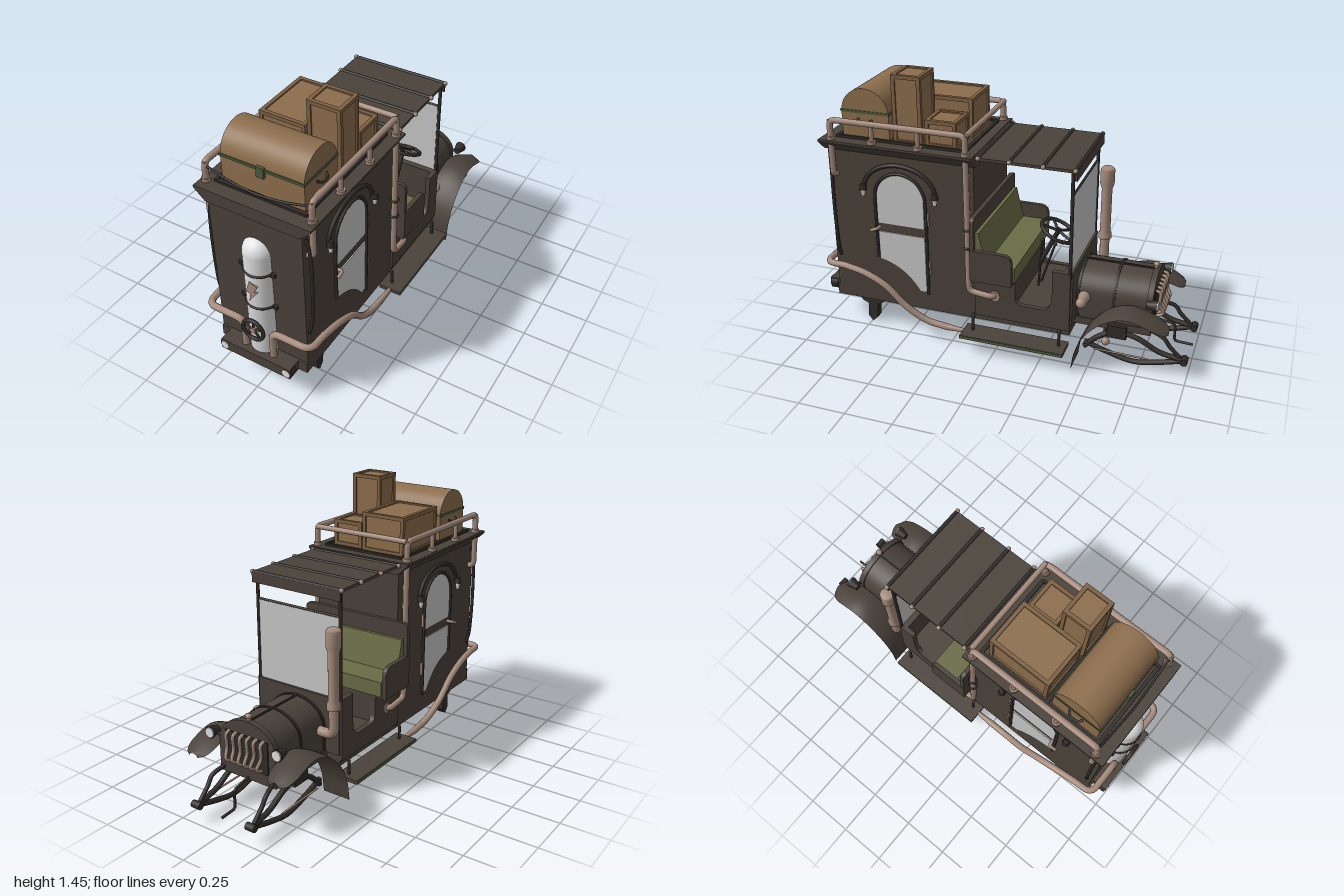
import * as THREE from 'three';
import { toCreasedNormals } from 'three/addons/utils/BufferGeometryUtils.js';

const mat = (name, color, side = THREE.FrontSide) => Object.assign(new THREE.MeshStandardMaterial({ color, side }), { name });
const V = (x, y, z) => new THREE.Vector3(x, y, z);
// Box from its extents
const box = (x0, x1, y0, y1, z0, z1) => new THREE.BoxGeometry(x1 - x0, y1 - y0, z1 - z0)
  .translate((x0 + x1) / 2, (y0 + y1) / 2, (z0 + z1) / 2);
const poly = (pts) => new THREE.Shape(pts.map(p => new THREE.Vector2(...p)));
const extrude = (shape, depth) => toCreasedNormals(new THREE.ExtrudeGeometry(shape, { depth, bevelEnabled: false, curveSegments: 16 }), 0.6);
// Plates drawn in (x, y) and in (z, y)
const plate = (shape, z0, z1) => extrude(shape, z1 - z0).translate(0, 0, z0);
const slab = (shape, x0, x1) => extrude(shape, x1 - x0).rotateY(-Math.PI / 2).translate(x1, 0, 0);
const tube = (pts, r) => new THREE.TubeGeometry(new THREE.CatmullRomCurve3(pts.map(p => V(...p))), 48, r, 10);
// Pipe with straight runs and rounded elbows
const pipe = (pts, r, bend) => {
  const p = pts.map(q => V(...q)), path = new THREE.CurvePath(), last = p.length - 1;
  let from = p[0];
  for (let i = 1; i < last; i++) {
    const [a, b] = [p[i - 1], p[i + 1]].map(q => q.clone().sub(p[i]).setLength(bend).add(p[i]));
    path.add(new THREE.LineCurve3(from, a));
    path.add(new THREE.QuadraticBezierCurve3(a, p[i], b));
    from = b;
  }
  path.add(new THREE.LineCurve3(from, p[last]));
  return new THREE.TubeGeometry(path, 24 * p.length, r, 10);
};
const rod = (a, b, r, r2 = r) => {
  const s = V(...a), d = V(...b).sub(s), turn = new THREE.Quaternion().setFromUnitVectors(V(0, 1, 0), d.clone().normalize());
  return new THREE.CylinderGeometry(r2, r, d.length(), 16).applyQuaternion(turn).translate(...s.addScaledVector(d, 0.5).toArray());
};
const ball = (x, y, z, r) => new THREE.SphereGeometry(r, 16, 10).translate(x, y, z);
const ring = (x, y, z, R, r) => new THREE.TorusGeometry(R, r, 8, 28).rotateX(Math.PI / 2).translate(x, y, z);
const lathe = (pts, x, z) => new THREE.LatheGeometry(pts.map(p => new THREE.Vector2(...p)), 32).translate(x, 0, z);
// Copy to the other side, reversing the corner order
const mirror = (geo) => {
  const order = geo.index ? [...geo.index.array] : [...Array(geo.attributes.position.count).keys()];
  return geo.clone().scale(-1, 1, 1).setIndex(order.reverse());
};

export function createModel() {
  const dark = mat('dark bodywork', 0x4a423a), darkSheet = mat('dark sheet metal', 0x4a423a, THREE.DoubleSide);
  const iron = mat('black iron', 0x302c28), copper = mat('copper pipe', 0xa58b7c);
  const wood = mat('tan wood', 0x8d6e4d), woodEdge = mat('wood edging', 0x7d6043);
  const white = mat('white enamel', 0xe2e2e2), glass = mat('pale glass', 0xc6c7c6);
  const green = mat('green leather', 0x6a6b45), strapGreen = mat('green strap', 0x4c5a3c);
  const root = new THREE.Group();
  const add = (name, geo, m, parent = root) => parent.add(Object.assign(new THREE.Mesh(geo, m), { name }));
  const both = (name, geo, m) => { add(name + 'Left', geo, m); add(name + 'Right', mirror(geo), m); };

  // Chassis, cabin and flared roof
  add('chassis', box(-0.25, 0.25, 0.17, 0.23, -0.4, 0.92), dark);
  add('frontChassis', box(-0.17, 0.17, 0.2, 0.24, -0.8, -0.4), dark);
  add('rearStep', box(-0.2, 0.2, 0.17, 0.23, 0.92, 0.995), dark);
  add('cabin', box(-0.25, 0.25, 0.23, 1.05, 0.11, 0.91), dark);
  add('roof', plate(poly([[-0.25, 1.03], [0.25, 1.03], [0.31, 1.085], [0.31, 1.097], [-0.31, 1.097], [-0.31, 1.085]]), 0.1, 0.93), dark);
  both('roofSideTrim', box(0.23, 0.245, 1.09, 1.11, 0.16, 0.86), iron);
  for (const z of [0.16, 0.55, 0.85]) add('roofCrossTrim', box(-0.24, 0.24, 1.09, 1.108, z - 0.01, z + 0.01), iron);

  // Cabin doors: glass, frame, arch moulding, lamps
  both('upperWindow', slab(poly([[0.385, 0.65], [0.645, 0.65], [0.645, 0.8]]).absarc(0.515, 0.8, 0.13, 0, Math.PI, false), 0.249, 0.256), glass);
  const lower = poly([[0.385, 0.6], [0.385, 0.28], [0.42, 0.28]]).bezierCurveTo(0.47, 0.36, 0.54, 0.42, 0.645, 0.44).lineTo(0.645, 0.6);
  both('lowerWindow', slab(lower, 0.249, 0.256), glass);
  const arch = (R, H, y) => Array.from({ length: 13 }, (_, i) => [0.256, y + H * Math.sin(Math.PI * i / 12), 0.515 + R * Math.cos(Math.PI * i / 12)]);
  both('doorFrame', tube([[0.256, 0.45, 0.655], ...arch(0.14, 0.14, 0.8), [0.256, 0.27, 0.375]], 0.008), iron);
  both('archMoulding', tube(arch(0.2, 0.15, 0.835), 0.011), iron);
  for (const z of [0.315, 0.715]) {
    both('doorLampCap', rod([0.268, 0.835, z], [0.268, 0.865, z], 0.02, 0.014), iron);
    both('doorLamp', rod([0.268, 0.8, z], [0.268, 0.838, z], 0.009, 0.014), white);
  }
  for (const y of [0.43, 0.71]) both('hinge', box(0.25, 0.262, y - 0.035, y + 0.035, 0.355, 0.363), copper);
  both('doorHandle', tube([[0.25, 0.625, 0.64], [0.28, 0.625, 0.645], [0.28, 0.61, 0.68]], 0.009), copper);

  // Rear gas tank with bands, bolt and valve wheel
  const cap = Array.from({ length: 11 }, (_, i) => [0.08 * Math.cos(i * Math.PI / 20), 0.83 + 0.08 * Math.sin(i * Math.PI / 20)]);
  add('gasTank', lathe([[0, 0.23], [0.08, 0.23], ...cap], 0, 0.89), white);
  for (const y of [0.53, 0.73]) {
    add('tankBand', ring(0, y, 0.89, 0.081, 0.006), iron);
    both('tankBandFoot', box(0.075, 0.1, y - 0.01, y + 0.01, 0.905, 0.925), iron);
  }
  const bolt = poly([[-0.01, 0.69], [-0.033, 0.62], [-0.008, 0.615], [-0.018, 0.56], [0.033, 0.637], [0.014, 0.635], [0.033, 0.672]]);
  add('tankBolt', plate(bolt, 0.964, 0.973), copper);
  add('valveWheel', new THREE.TorusGeometry(0.058, 0.01, 8, 32).translate(0, 0.395, 0.988), iron);
  for (let a = Math.PI / 2; a < 7.5; a += Math.PI * 0.4)
    add('valveSpoke', rod([0, 0.395, 0.985], [0.055 * Math.cos(a), 0.395 + 0.055 * Math.sin(a), 0.985], 0.006), iron);
  add('valveHub', rod([0, 0.395, 0.95], [0, 0.395, 0.996], 0.016), copper);

  // Long exhaust pipes sweeping to the running boards
  both('rearPipe', pipe([[0.08, 0.22, 0.95], [0.08, 0.385, 0.95], [0.295, 0.385, 0.95], [0.3, 0.385, 0.83]], 0.018, 0.05), copper);
  both('sweepPipe', tube([[0.3, 0.385, 0.84], [0.308, 0.365, 0.72], [0.31, 0.31, 0.6], [0.3, 0.2, 0.49], [0.285, 0.125, 0.38], [0.28, 0.102, 0.26]], 0.018), copper);
  both('sweepTip', rod([0.28, 0.102, 0.27], [0.28, 0.1, 0.17], 0.018, 0.011), copper);
  both('runningBoard', box(0.22, 0.345, 0.09, 0.11, -0.39, 0.17), dark);
  both('runningBoardTrim', box(0.345, 0.348, 0.092, 0.108, -0.39, 0.17), strapGreen);
  for (const z of [0.12, -0.35]) both('boardStrut', pipe([[0.23, 0.2, z], [0.27, 0.195, z], [0.27, 0.08, z]], 0.008, 0.02), iron);

  // Roof rack and its down pipes
  both('rackRail', pipe([[0.28, 0.97, 0.87], [0.28, 1.2, 0.87], [0.28, 1.2, 0.14], [0.28, 0.35, 0.135], [0.28, 0.335, 0], [0.24, 0.335, 0]], 0.016, 0.03), copper);
  both('rackRearElbow', pipe([[0.28, 1.0, 0.87], [0.28, 0.9, 0.87], [0.24, 0.9, 0.87]], 0.016, 0.03), copper);
  add('rackFrontRail', rod([-0.28, 1.2, 0.135], [0.28, 1.2, 0.135], 0.014), copper);
  for (const z of [0.14, 0.39, 0.64, 0.87]) {
    both('rackPost', rod([0.28, 1.09, z], [0.28, 1.2, z], 0.012), copper);
    both('rackPostFoot', rod([0.28, 1.09, z], [0.28, 1.115, z], 0.022), copper);
  }
  add('rackRope', tube([[-0.28, 1.18, 0.87], [-0.14, 1.148, 0.875], [0, 1.138, 0.88], [0.14, 1.148, 0.875], [0.28, 1.18, 0.87]], 0.006), iron);
  for (const y of [0.6, 0.7]) both('pipeClamp', ring(0.28, y, 0.136, 0.018, 0.006), iron);
  both('elbowFlange', rod([0.25, 0.335, 0], [0.268, 0.335, 0], 0.028), copper);
  both('rearDrain', tube([[0.25, 1.0, 0.885], [0.268, 0.95, 0.885], [0.268, 0.5, 0.885], [0.25, 0.42, 0.885]], 0.009), iron);

  // Domed trunk
  add('trunk', slab(poly([[0.57, 1.095], [0.83, 1.095], [0.83, 1.23]]).absarc(0.7, 1.23, 0.13, 0, Math.PI, false), -0.22, 0.22), wood);
  add('trunkStrap', box(-0.224, 0.224, 1.23, 1.244, 0.566, 0.834), strapGreen);
  add('trunkLock', box(-0.02, 0.02, 1.2, 1.255, 0.83, 0.845), strapGreen);
  both('trunkHandle', tube([[0.22, 1.2, 0.74], [0.238, 1.19, 0.72], [0.238, 1.19, 0.68], [0.22, 1.2, 0.66]], 0.006), iron);

  // Crates: recessed core with edge battens
  for (const [x0, x1, y1, z0, z1] of [[0.05, 0.225, 1.45, 0.39, 0.545], [-0.22, 0.03, 1.3, 0.195, 0.535], [0.045, 0.22, 1.235, 0.21, 0.375]]) {
    const y0 = 1.095, b = 0.02, X = [x0, x1 - b], Y = [y0, y1 - b], Z = [z0, z1 - b];
    add('crateCore', box(x0 + 0.008, x1 - 0.008, y0, y1 - 0.008, z0 + 0.008, z1 - 0.008), wood);
    for (const [p, q] of [[0, 0], [0, 1], [1, 0], [1, 1]]) {
      add('crateBatten', box(X[p], X[p] + b, y0, y1, Z[q], Z[q] + b), woodEdge);
      add('crateBatten', box(x0, x1, Y[p], Y[p] + b, Z[q], Z[q] + b), woodEdge);
      add('crateBatten', box(X[p], X[p] + b, Y[q], Y[q] + b, z0, z1), woodEdge);
    }
  }

  // Driver's cockpit: sides, floor, firewall, seat
  const side = poly([[-0.4, 0.53], [-0.4, 0.2], [0.11, 0.2], [0.11, 0.45], [-0.11, 0.45], [-0.11, 0.33]]).quadraticCurveTo(-0.12, 0.3, -0.16, 0.3)
    .lineTo(-0.26, 0.3).quadraticCurveTo(-0.31, 0.31, -0.305, 0.42).lineTo(-0.305, 0.53);
  both('cockpitSide', slab(side, 0.235, 0.262), dark);
  add('cockpitFloor', box(-0.25, 0.25, 0.2, 0.295, -0.4, 0.11), dark);
  add('firewall', box(-0.25, 0.25, 0.23, 0.53, -0.41, -0.36), dark);
  add('seatBase', box(-0.24, 0.24, 0.29, 0.45, -0.11, 0.11), dark);
  add('seatFloor', box(-0.325, 0.325, 0.435, 0.455, -0.11, 0.11), dark);
  const arm = poly([[-0.112, 0.44], [0.11, 0.44], [0.11, 0.61], [-0.06, 0.61]]).quadraticCurveTo(-0.112, 0.61, -0.112, 0.56);
  both('seatArm', slab(arm, 0.305, 0.328), dark);
  const back = poly([[-0.325, 0.44], [0.325, 0.44], [0.325, 0.75]]).quadraticCurveTo(0.325, 0.785, 0.29, 0.785)
    .lineTo(-0.29, 0.785).quadraticCurveTo(-0.325, 0.785, -0.325, 0.75);
  add('seatBack', plate(back, 0.088, 0.11), dark);
  add('seatCushion', box(-0.303, 0.303, 0.45, 0.53, -0.12, 0.07), green);
  add('seatBackCushion', slab(poly([[0.09, 0.52], [0.09, 0.7], [0.07, 0.7], [0.03, 0.52]]), -0.303, 0.303), green);

  // Canopy and windshield
  add('canopy', box(-0.265, 0.265, 1.075, 1.09, -0.41, 0.11), dark);
  add('canopyValance', box(-0.265, 0.265, 1.035, 1.09, -0.42, -0.408), dark);
  for (const z of [0.08, -0.08, -0.25, -0.41]) {
    add('canopyRib', rod([-0.267, 1.087, z], [0.267, 1.087, z], 0.01), iron);
    both('canopyKnob', ball(0.268, 1.087, z, 0.012), copper);
  }
  both('windshieldPost', rod([0.25, 0.5, -0.395], [0.25, 1.08, -0.395], 0.009), iron);
  add('windshield', box(-0.245, 0.245, 0.53, 0.95, -0.398, -0.392), glass);
  add('windshieldBar', rod([-0.25, 0.95, -0.395], [0.25, 0.95, -0.395], 0.006), iron);

  // Steering wheel and levers
  const wheel = Object.assign(new THREE.Group(), { name: 'steeringWheel' });
  add('wheelRim', ring(0, 0, 0, 0.093, 0.01), iron, wheel);
  add('steeringColumn', rod([0, -0.2, 0], [0, 0.012, 0], 0.012), iron, wheel);
  for (let a = 0; a < 6; a += Math.PI * 0.4) add('wheelSpoke', rod([0, 0, 0], [0.09 * Math.cos(a), 0, 0.09 * Math.sin(a)], 0.007), iron, wheel);
  wheel.position.set(0.1, 0.68, -0.287);
  wheel.rotation.x = -0.44;
  root.add(wheel);
  for (const [x, z, y] of [[0.02, -0.18, 0.57], [-0.03, -0.235, 0.53]]) {
    add('lever', rod([x, 0.29, -0.16], [x, y, z], 0.006), iron);
    add('leverKnob', ball(x, y, z, 0.011), iron);
  }

  // Hood, grille and headlamps
  const hood = (w, top, z0, z1) => plate(poly([[-w, 0.22], [w, 0.22], [w, top - 0.13]]).absellipse(0, top - 0.13, w, 0.13, 0, Math.PI, false), z0, z1);
  add('hood', hood(0.165, 0.495, -0.79, -0.4), dark);
  add('radiatorShell', hood(0.172, 0.503, -0.8, -0.77), dark);
  for (const z of [-0.61, -0.425]) add('hoodBand', hood(0.169, 0.5, z, z + 0.015), iron);
  add('hoodHinge', box(-0.005, 0.005, 0.49, 0.502, -0.79, -0.41), iron);
  add('grillePanel', box(-0.13, 0.13, 0.26, 0.43, -0.806, -0.8), iron);
  for (let x = -0.105; x < 0.11; x += 0.042)
    add('grillePipe', tube([[x, 0.43, -0.8], [x, 0.42, -0.825], [x, 0.35, -0.825], [x * 0.9, 0.3, -0.845], [x * 0.85, 0.27, -0.8]], 0.009), copper);
  add('radiatorCap', lathe([[0.01, 0.49], [0.01, 0.515], [0.016, 0.52], [0.016, 0.532], [0, 0.537]], 0, -0.78), copper);
  both('headlamp', rod([0.205, 0.4, -0.775], [0.205, 0.4, -0.83], 0.018, 0.032), iron);
  both('headlampLens', rod([0.205, 0.4, -0.83], [0.205, 0.4, -0.836], 0.026), white);
  both('headlampArm', rod([0.16, 0.38, -0.79], [0.205, 0.4, -0.8], 0.009), iron);

  // Smokestack and side outlet
  add('stackElbow', pipe([[-0.15, 0.36, -0.45], [-0.25, 0.36, -0.45], [-0.25, 0.52, -0.45]], 0.026, 0.045), copper);
  add('smokestack', lathe([[0.035, 0.5], [0.035, 0.53], [0.028, 0.54], [0.028, 0.79], [0.038, 0.82], [0.038, 0.9], [0.03, 0.91], [0, 0.91]], -0.25, -0.45), copper);
  add('sideOutlet', rod([0.15, 0.36, -0.45], [0.23, 0.36, -0.45], 0.034, 0.024), copper);
  add('sideOutletEnd', ball(0.23, 0.36, -0.45, 0.028), copper);

  // Front fenders bent along a curve, rounded at the tip
  const bend = new THREE.CatmullRomCurve3([[0.02, -0.43], [0.14, -0.45], [0.25, -0.505], [0.34, -0.6], [0.375, -0.7], [0.35, -0.81], [0.31, -0.905]].map(p => V(0, ...p)));
  const fender = new THREE.PlaneGeometry(1, 1, 8, 36), fp = fender.attributes.position;
  for (let i = 0; i < fp.count; i++) {
    const u = fp.getX(i) * 2, t = fp.getY(i) + 0.5, p = bend.getPointAt(t);
    const w = 0.35 + 0.65 * Math.sqrt(Math.max(0, 1 - (Math.max(0, t - 0.85) / 0.15) ** 2));
    fp.setXYZ(i, 0.25 + u * 0.078 * w, p.y - 0.02 * u * u * t, p.z);
  }
  fender.computeVertexNormals();
  both('frontFender', fender, darkSheet);

  // Front leaf springs, crank and drain
  const X = 0.168;
  both('springUpper', tube([[X, 0.07, -0.46], [X, 0.14, -0.53], [X, 0.19, -0.63], [X, 0.17, -0.74], [X, 0.115, -0.85], [X, 0.09, -0.98]], 0.014), iron);
  both('springLower', tube([[X, 0.1, -0.46], [X, 0.06, -0.58], [X, 0.03, -0.72], [X, 0.05, -0.84], [X, 0.09, -0.98]], 0.014), iron);
  both('springShackle', rod([X - 0.025, 0.09, -0.98], [X + 0.025, 0.09, -0.98], 0.019), iron);
  both('springHanger', tube([[X - 0.02, 0.23, -0.78], [X, 0.2, -0.87], [X, 0.16, -0.9], [X, 0.1, -0.96]], 0.011), iron);
  both('springMount', box(X - 0.02, X + 0.02, 0.16, 0.23, -0.68, -0.58), iron);
  both('tieRod', rod([0.2, 0.085, -0.52], [0.2, 0.08, -0.8], 0.005), copper);
  add('crank', pipe([[0, 0.21, -0.79], [0, 0.19, -0.9], [0, 0.09, -0.9], [0, 0.085, -0.998]], 0.007, 0.02), iron);
  add('drainPipe', rod([0.115, 0.2, -0.56], [0.115, 0.12, -0.56], 0.012), iron);
  add('drainValve', ball(0.115, 0.085, -0.56, 0.022), copper);

  // Rear suspension brackets and tail lamps
  const bracket = poly([[0.83, 0.17], [0.8, 0.125], [0.765, 0.11], [0.77, 0.03], [0.745, 0], [0.715, 0.03], [0.71, 0.11], [0.675, 0.13], [0.65, 0.17]]);
  both('rearBracket', slab(bracket, 0.16, 0.205), iron);
  both('tailLampShell', rod([0.18, 0.2, 0.95], [0.18, 0.2, 0.992], 0.03), iron);
  both('tailLamp', rod([0.18, 0.2, 0.99], [0.18, 0.2, 0.998], 0.022), white);
  return root;
}
